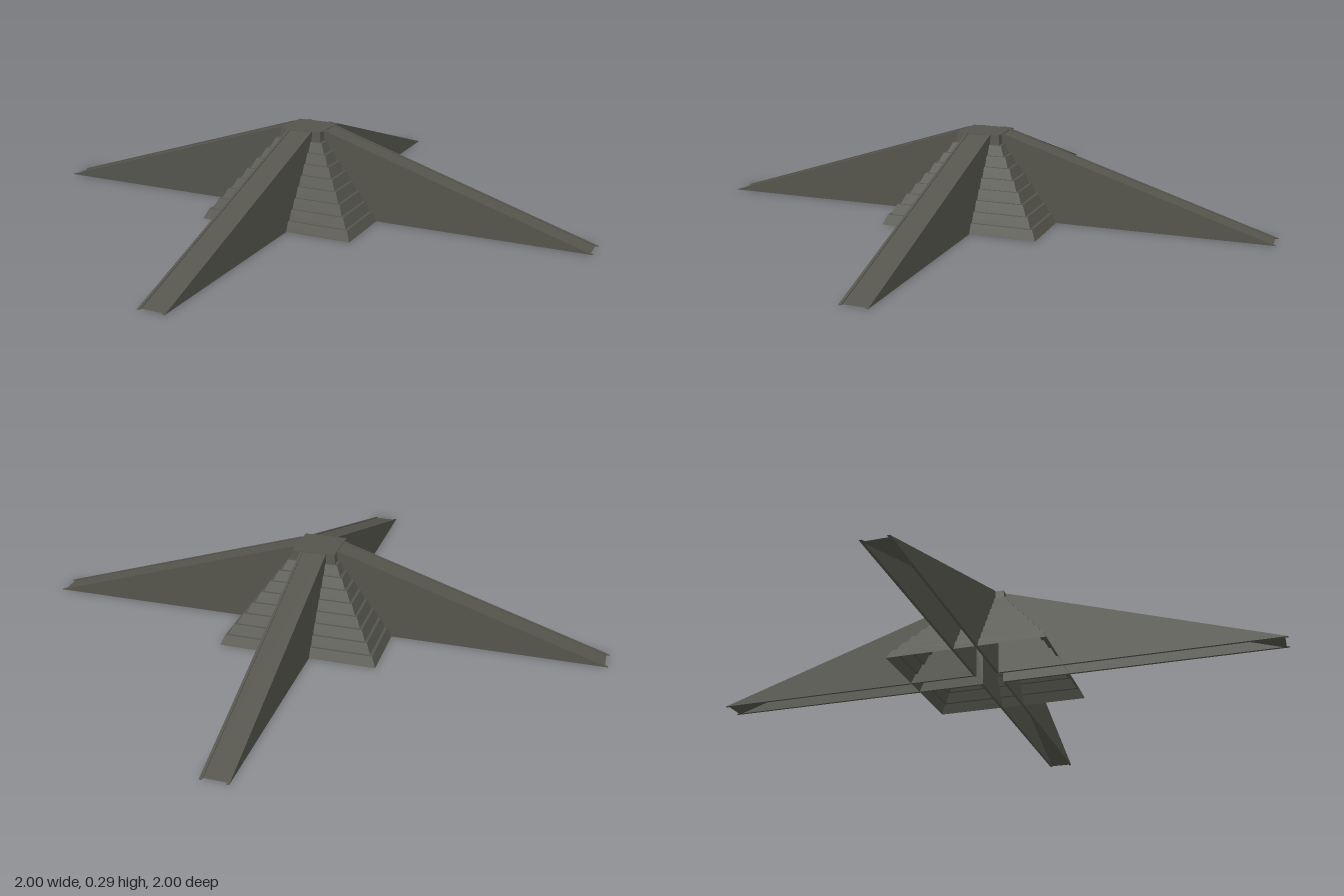
import * as THREE from 'three';

const HEIGHT = 0.295, BASE = 0.272, TOP = 0.078, TIERS = 9;
const RAMP_HALF = 0.045, WALL = 0.009, CREST = 0.08;

// Extrudes an (outward, up) outline sideways, centred at side offset z
function slab(points, width, z) {
  const shape = new THREE.Shape(points.map(([x, y]) => new THREE.Vector2(x, y)));
  const geo = new THREE.ExtrudeGeometry(shape, { depth: width, bevelEnabled: false });
  return geo.translate(0, 0, z - width / 2);
}

export function createModel() {
  const stone = new THREE.MeshStandardMaterial({ color: 0x55554d, side: THREE.DoubleSide });
  stone.name = 'darkStone';
  const model = new THREE.Group();
  model.name = 'steppedPyramid';

  const add = (parent, name, geo) => {
    const mesh = new THREE.Mesh(geo, stone);
    mesh.name = name;
    parent.add(mesh);
    return mesh;
  };

  // Hollow tiers: each has a leaning riser and a narrow tread
  const rise = HEIGHT / TIERS, run = (BASE - TOP) / (TIERS - 1);
  const profile = [];
  for (let i = 0; i < TIERS; i++) {
    const half = BASE - i * run;
    const lean = i < TIERS - 1 ? run * 0.62 : 0.004;
    profile.push(new THREE.Vector2(half * Math.SQRT2, i * rise));
    profile.push(new THREE.Vector2((half - lean) * Math.SQRT2, (i + 1) * rise));
  }
  const tiers = new THREE.LatheGeometry(profile, 4, Math.PI / 4).toNonIndexed();
  tiers.computeVertexNormals();
  add(model, 'steppedTiers', tiers);

  // Flat platform closing the top
  const platform = new THREE.BoxGeometry(TOP * 2 - 0.008, 0.004, TOP * 2 - 0.008);
  add(model, 'topPlatform', platform).position.y = HEIGHT - 0.002;

  // Four long ramps, open underneath, with thin side walls
  const inner = RAMP_HALF - WALL;
  const wallGeo = [-1, 1].map((s) => slab(
    [[inner, 0], [1, 0], [CREST, HEIGHT], [inner, HEIGHT]],
    WALL, s * (RAMP_HALF - WALL / 2)));
  const drop = 0.003;
  const deckGeo = slab(
    [[0.978, 0], [0.99, 0], [CREST, HEIGHT - drop], [inner, HEIGHT - drop],
      [inner, HEIGHT - drop - 0.004], [CREST, HEIGHT - drop - 0.004]],
    inner * 2, 0);
  for (let i = 0; i < 4; i++) {
    const ramp = new THREE.Group();
    ramp.name = 'ramp' + (i + 1);
    ramp.rotation.y = i * Math.PI / 2;
    wallGeo.forEach((geo, k) => add(ramp, k ? 'rampWallB' : 'rampWallA', geo));
    add(ramp, 'rampDeck', deckGeo);
    model.add(ramp);
  }
  return model;
}
